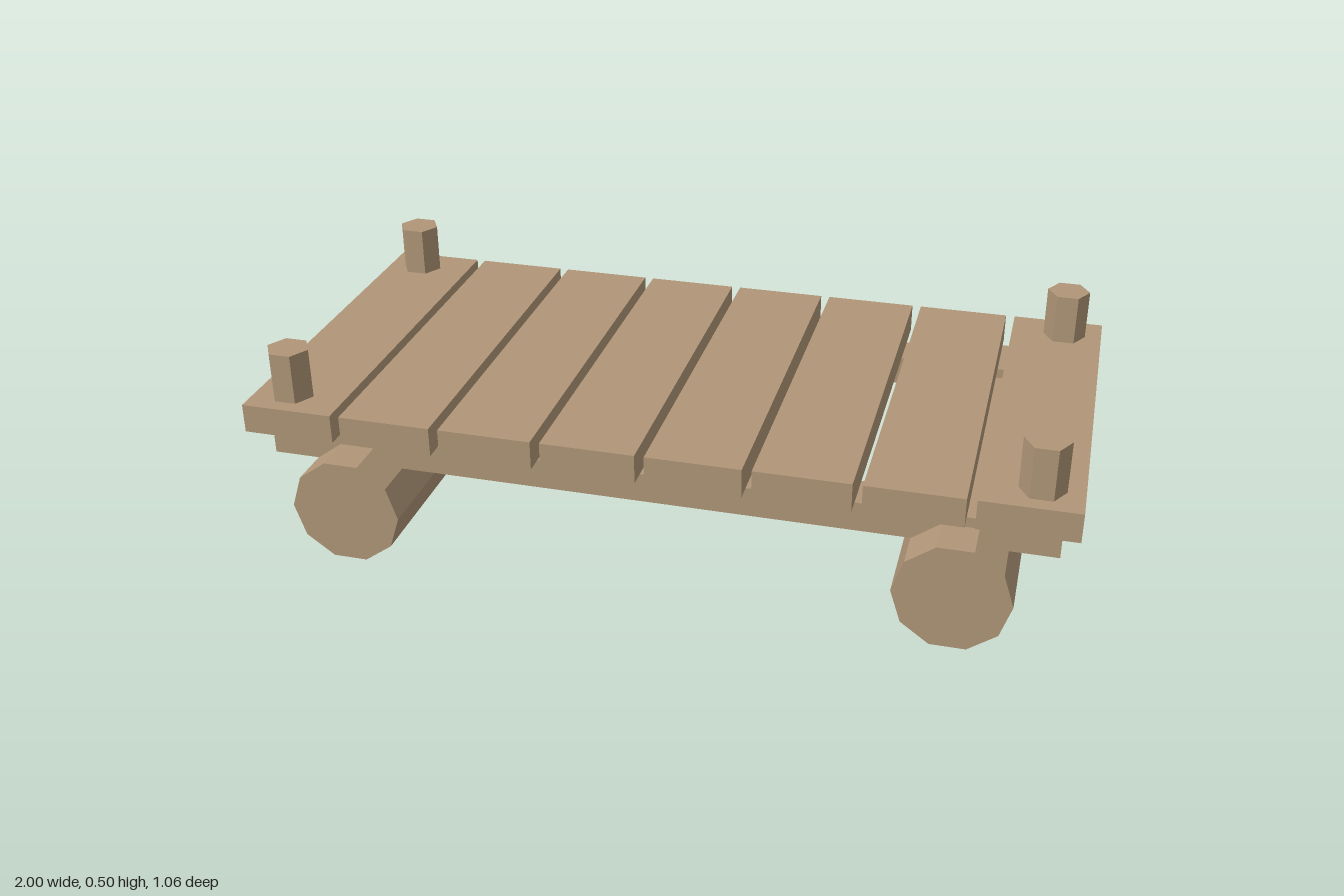
import * as THREE from 'three';

export function createModel() {
  const raft = new THREE.Group();
  raft.name = 'raft';
  const wood = new THREE.MeshStandardMaterial({ color: 0xb09678, flatShading: true });
  wood.name = 'wood';

  const add = (name, geometry, x, y, z) => {
    const mesh = new THREE.Mesh(geometry, wood);
    mesh.name = name;
    mesh.position.set(x, y, z);
    raft.add(mesh);
  };

  // Deck planks laid side by side with narrow gaps
  const plankCount = 8, plankWidth = 0.23;
  const plank = new THREE.BoxGeometry(plankWidth, 0.073, 0.98);
  const pitch = (2 - plankWidth) / (plankCount - 1);
  for (let i = 0; i < plankCount; i++) {
    add('deckPlank' + (i + 1), plank, -1 + plankWidth / 2 + i * pitch, 0.334, 0);
  }

  // Ten-sided floating logs, flat side down
  const log = new THREE.CylinderGeometry(0.1375, 0.1375, 1.06, 10, 1, false, Math.PI / 10);
  log.rotateX(Math.PI / 2);
  // Long beams under the deck
  const beam = new THREE.BoxGeometry(1.92, 0.074, 0.1);
  // Hexagonal corner posts with corners pointing sideways
  const post = new THREE.CylinderGeometry(0.0535, 0.0535, 0.127, 6, 1, false, Math.PI / 6);

  for (const s of [-1, 1]) {
    add(s > 0 ? 'leftLog' : 'rightLog', log, s * 0.735, 0.131, 0);
    add(s > 0 ? 'frontBeam' : 'backBeam', beam, 0, 0.25, s * 0.379);
    for (const t of [-1, 1]) {
      add((t > 0 ? 'front' : 'back') + (s > 0 ? 'Left' : 'Right') + 'Post', post, s * 0.905, 0.434, t * 0.406);
    }
  }
  return raft;
}
